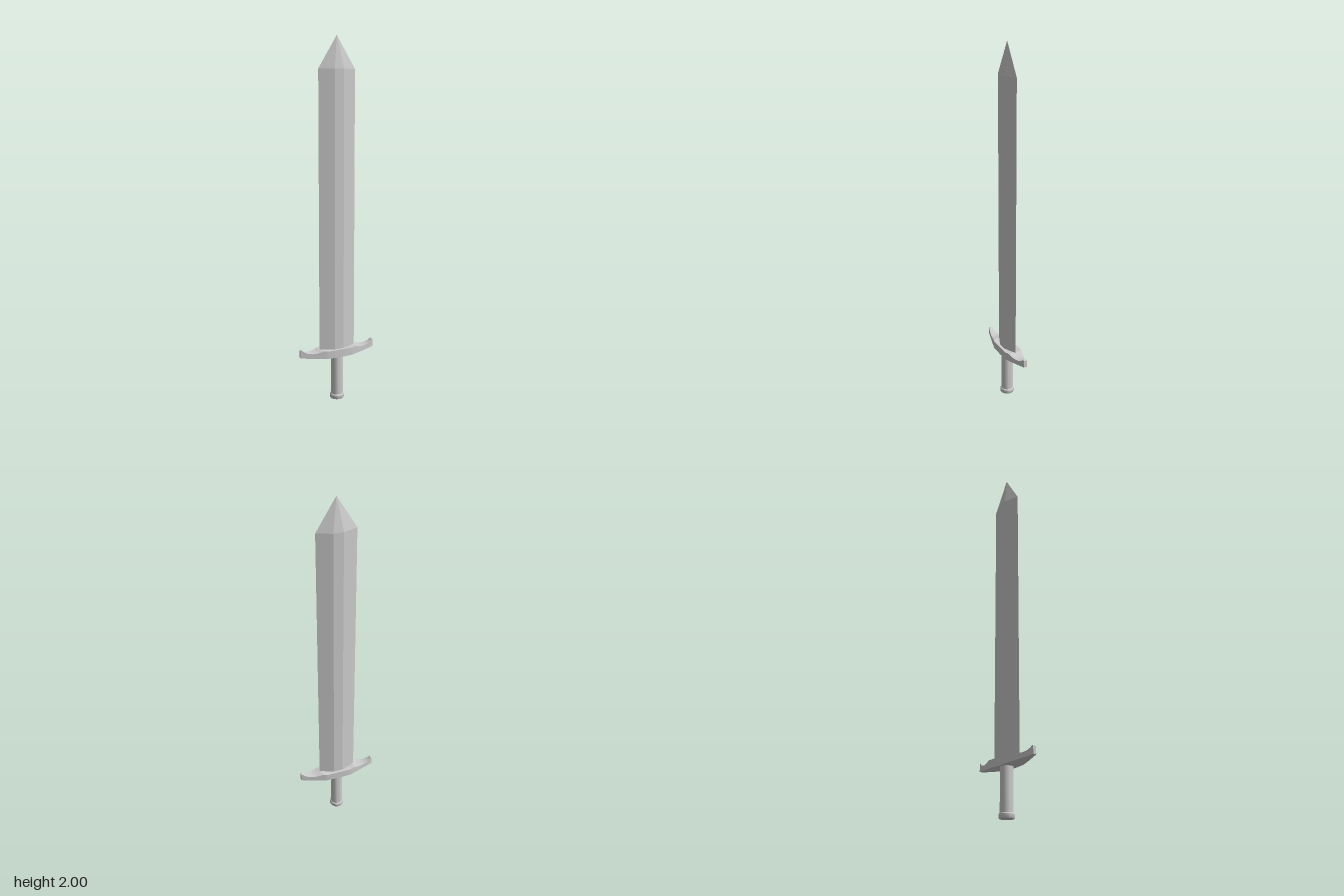
import * as THREE from 'three';
import { toCreasedNormals } from 'three/addons/utils/BufferGeometryUtils.js';

// Closed solid through rings of [x, y, z], each counter-clockwise seen from the far end.
function loft(rings, crease) {
  const n = rings[0].length;
  const index = [];
  for (let r = 0; r < rings.length - 1; r++) {
    for (let i = 0; i < n; i++) {
      const j = (i + 1) % n;
      const a = r * n + i, b = r * n + j, c = a + n, d = b + n;
      index.push(a, b, d, a, d, c);
    }
  }
  const last = (rings.length - 1) * n;
  for (let i = 1; i < n - 1; i++) {
    index.push(0, i + 1, i, last, last + i, last + i + 1);
  }
  const geometry = new THREE.BufferGeometry();
  geometry.setAttribute('position', new THREE.Float32BufferAttribute(rings.flat(2), 3));
  geometry.setIndex(index);
  return toCreasedNormals(geometry, crease);
}

export function createModel() {
  const group = new THREE.Group();
  const steel = new THREE.MeshStandardMaterial({ color: 0xcccccc });
  steel.name = 'steel';
  const add = (name, geometry) => {
    const mesh = new THREE.Mesh(geometry, steel);
    mesh.name = name;
    group.add(mesh);
  };

  // Blade: flattened hexagon that narrows to a point
  const section = [[0.107, 0], [0.027, -0.031], [-0.027, -0.031], [-0.107, 0], [-0.027, 0.031], [0.027, 0.031]];
  const bladeRing = (y, s) => section.map(([x, z]) => [x * s, y, z * s]);
  add('blade', loft([bladeRing(0.27, 1), bladeRing(1.828, 1), bladeRing(2, 0.001)], 0.1));

  // Crossguard: half profile of [x, bottom, top], mirrored; thins toward the ends
  const half = [
    [0, 0.253, 0.298], [0.075, 0.256, 0.298], [0.09, 0.257, 0.301], [0.103, 0.258, 0.301],
    [0.12, 0.259, 0.295], [0.14, 0.261, 0.291], [0.16, 0.263, 0.29], [0.18, 0.265, 0.293],
    [0.195, 0.267, 0.298], [0.21, 0.269, 0.307], [0.218, 0.27, 0.315], [0.225, 0.271, 0.312],
  ];
  const profile = [...half.slice(1).reverse().map(([x, b, t]) => [-x, b, t]), ...half];
  const guardRings = profile.map(([x, b, t]) => {
    const w = THREE.MathUtils.mapLinear(Math.max(Math.abs(x), 0.075), 0.075, 0.225, 0.047, 0.009);
    return [[x, b, -w], [x, t, -w], [x, t, w], [x, b, w]];
  });
  add('crossguard', loft(guardRings, 0.45));

  // Round grip and pommel
  const lathe = (points) =>
    toCreasedNormals(new THREE.LatheGeometry(points.map(([r, y]) => new THREE.Vector2(r, y)), 32), 0.5);
  add('grip', lathe([[0.034, 0.015], [0.034, 0.265]]));
  add('pommel', lathe([[0, 0], [0.038, 0], [0.04, 0.004], [0.04, 0.021], [0.037, 0.026], [0.033, 0.027]]));

  return group;
}
